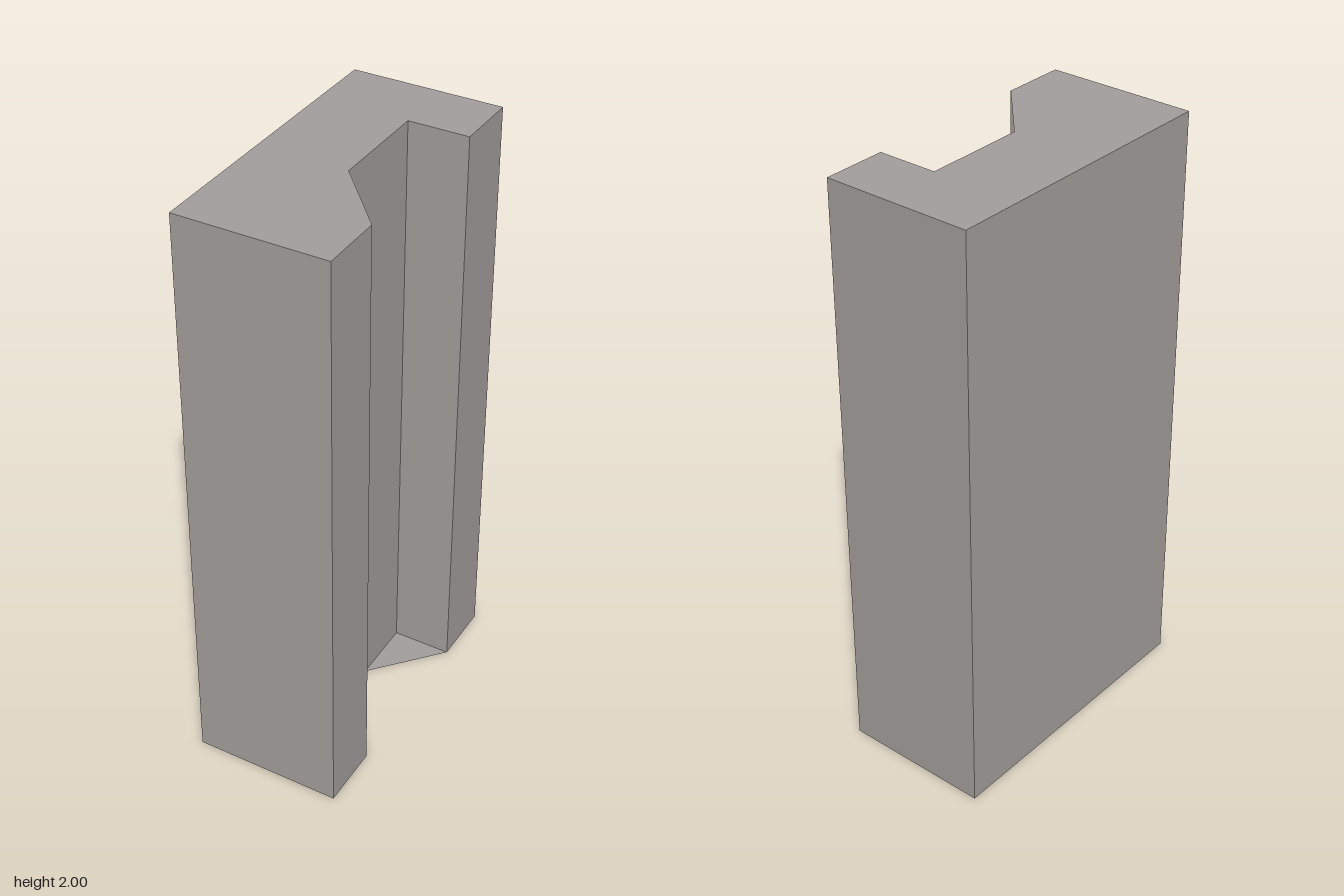
import * as THREE from 'three';

const HEIGHT = 2, HALF_X = 0.25, HALF_Z = 0.5;
const GROOVE_X = 0.05, GROOVE_Z = 0.285, WEB_Z = 0.06;

// plan outline from [x, z] points; extrusion is later turned to run along y
const plan = (points) => new THREE.Shape(points.map(([x, z]) => new THREE.Vector2(x, -z)));

export function createModel() {
  const group = new THREE.Group();
  const stone = new THREE.MeshStandardMaterial({ color: 0xa39f9d, side: THREE.DoubleSide });
  stone.name = 'warm grey';

  const add = (name, geometry, y) => {
    geometry.rotateX(-Math.PI / 2);
    const mesh = new THREE.Mesh(geometry, stone);
    mesh.name = name;
    mesh.position.y = y;
    group.add(mesh);
  };

  // upright block with a square groove down its +x side
  const body = plan([
    [-HALF_X, HALF_Z], [HALF_X, HALF_Z], [HALF_X, GROOVE_Z], [GROOVE_X, GROOVE_Z],
    [GROOVE_X, -GROOVE_Z], [HALF_X, -GROOVE_Z], [HALF_X, -HALF_Z], [-HALF_X, -HALF_Z],
  ]);
  add('groovedBlock', new THREE.ExtrudeGeometry(body, { depth: HEIGHT, bevelEnabled: false }), 0);

  // thin triangular webs across opposite corners of the groove ends
  for (const [name, side, y] of [['topWeb', 1, HEIGHT], ['bottomWeb', -1, 0]]) {
    const web = plan([
      [HALF_X, side * GROOVE_Z], [GROOVE_X, side * GROOVE_Z], [GROOVE_X, side * WEB_Z],
    ]);
    add(name, new THREE.ShapeGeometry(web), y);
  }
  return group;
}
